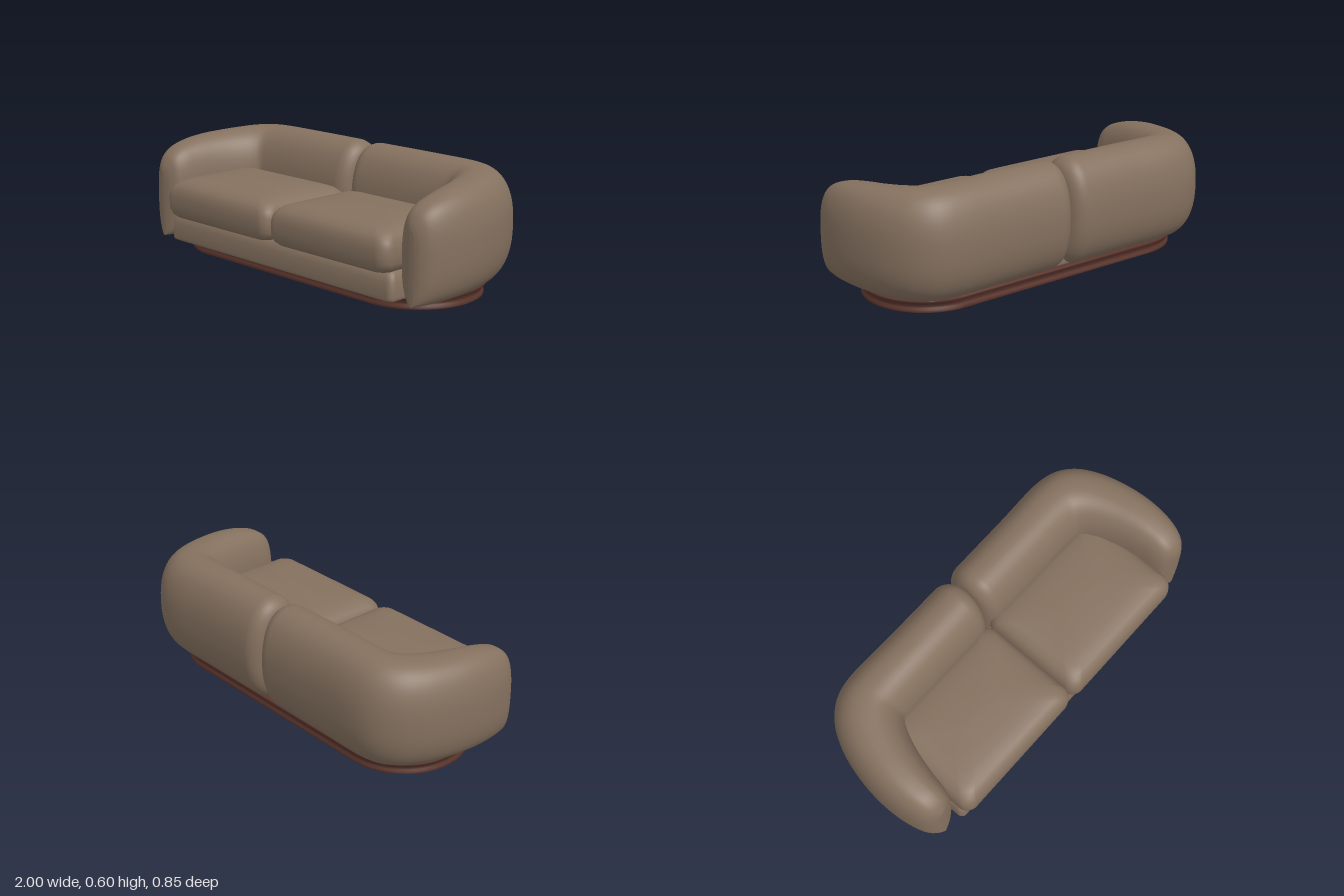
import * as THREE from 'three';

const V = (x, y, z) => new THREE.Vector3(x, y, z);

// Skin a list of equal-length closed rings, with fan caps at both ends
function loft(rings) {
  const n = rings[0].length, pos = [], idx = [];
  rings.forEach(r => r.forEach(p => pos.push(p.x, p.y, p.z)));
  for (let i = 0; i < rings.length - 1; i++) {
    for (let j = 0; j < n; j++) {
      const a = i * n + j, b = i * n + (j + 1) % n;
      idx.push(a, b, b + n, a, b + n, a + n);
    }
  }
  [0, rings.length - 1].forEach(i => {
    const c = rings[i].reduce((s, p) => s.add(p), V(0, 0, 0)).divideScalar(n);
    const k = pos.length / 3;
    pos.push(c.x, c.y, c.z);
    for (let j = 0; j < n; j++) {
      const a = i * n + j, b = i * n + (j + 1) % n;
      if (i === 0) idx.push(k, b, a); else idx.push(k, a, b);
    }
  });
  // Turn the faces outward if the enclosed volume is negative
  const at = i => V(pos[i * 3], pos[i * 3 + 1], pos[i * 3 + 2]);
  let vol = 0;
  for (let i = 0; i < idx.length; i += 3) vol += at(idx[i]).dot(at(idx[i + 1]).cross(at(idx[i + 2])));
  if (vol < 0) idx.reverse();
  const g = new THREE.BufferGeometry();
  g.setAttribute('position', new THREE.Float32BufferAttribute(pos, 3));
  g.setIndex(idx);
  g.computeVertexNormals();
  return g;
}

// Horizontal rounded rectangle
function roundRect(cx, cz, hx, hz, r, y) {
  const ring = [], steps = 14, rr = Math.min(r, hx - 0.001, hz - 0.001);
  [[1, 1], [-1, 1], [-1, -1], [1, -1]].forEach(([sx, sz], q) => {
    for (let i = 0; i <= steps; i++) {
      const a = (q + i / steps) * Math.PI / 2;
      ring.push(V(cx + sx * (hx - rr) + rr * Math.cos(a), y, cz + sz * (hz - rr) + rr * Math.sin(a)));
    }
  });
  return ring;
}

// Rounded slab from [inset, height] profile points
const slab = (cx, cz, hx, hz, r, profile) =>
  loft(profile.map(([d, y]) => roundRect(cx, cz, hx - d, hz - d, r, y)));

// Upright oval cross-section between an outer and an inner plan point
function section(outer, inner, n, inset = 0) {
  const ring = [], count = 56, bottom = inner.y;
  const mid = outer.clone().add(inner).multiplyScalar(0.5);
  const dir = V(outer.x - inner.x, 0, outer.z - inner.z);
  const half = dir.length() / 2 - inset;
  dir.normalize();
  const cy = (outer.y + bottom) / 2, hh = (outer.y - bottom) / 2 - inset;
  const pw = v => Math.sign(v) * Math.pow(Math.abs(v), 2 / n);
  for (let i = 0; i < count; i++) {
    const a = i / count * Math.PI * 2;
    const u = half * pw(Math.cos(a)), v = hh * pw(Math.sin(a));
    ring.push(V(mid.x + dir.x * u, cy + v, mid.z + dir.z * u));
  }
  return ring;
}

// Back rest curving round into the arm, one half of the sofa
function backAndArm(side) {
  const r = 0.08, bottom = 0.06;
  // outer x, outer z, inner x, inner z, top height
  const stations = [
    [r, -0.425, r, -0.105, 0.595], [0.4, -0.425, 0.36, -0.105, 0.595],
    [0.70, -0.425, 0.59, -0.105, 0.592], [0.80, -0.395, 0.63, -0.10, 0.589],
    [0.88, -0.33, 0.655, -0.075, 0.585], [0.94, -0.23, 0.68, -0.03, 0.578],
    [0.98, -0.10, 0.705, 0.03, 0.57], [1.0, 0.05, 0.73, 0.11, 0.56],
    [0.995, 0.18, 0.75, 0.20, 0.542], [0.975, 0.27, 0.765, 0.28, 0.515],
    [0.95, 0.32, 0.785, 0.325, 0.48], [0.915, 0.348, 0.82, 0.348, 0.435],
    [0.885, 0.357, 0.855, 0.357, 0.40],
  ];
  const outer = new THREE.CatmullRomCurve3(stations.map(s => V(side * s[0], s[4], s[1])));
  const inner = new THREE.CatmullRomCurve3(stations.map(s => V(side * s[2], bottom, s[3])));
  const rings = [];
  // Rounded end at the centre seam
  for (let i = 0; i < 8; i++) {
    const a = i / 8 * Math.PI / 2, x = side * (0.002 + (r - 0.002) * (1 - Math.cos(a)));
    rings.push(section(V(x, 0.595, -0.425), V(x, bottom, -0.105), 2.2, r * (1 - Math.sin(a))));
  }
  const steps = 72;
  for (let i = 0; i <= steps; i++) {
    const t = i / steps;
    rings.push(section(outer.getPoint(t), inner.getPoint(t), 2.2 + 0.6 * t));
  }
  return loft(rings);
}

export function createModel() {
  const fabric = new THREE.MeshStandardMaterial({ color: 0x85715f });
  fabric.name = 'taupe fabric';
  const wood = new THREE.MeshStandardMaterial({ color: 0x5a352c });
  wood.name = 'dark wood';
  const group = new THREE.Group();
  group.name = 'sofa';
  const add = (name, geometry, material) => {
    const m = new THREE.Mesh(geometry, material);
    m.name = name;
    group.add(m);
  };

  // Plinth with a shallow groove
  add('plinth', slab(0, -0.005, 0.895, 0.32, 0.3, [
    [0.03, 0.0], [0.014, 0.0], [0.010, 0.003], [0.010, 0.014], [0.015, 0.022],
    [0.016, 0.032], [0.009, 0.046], [0.001, 0.056], [0.002, 0.064], [0.02, 0.066],
  ]), wood);

  // Seat base showing below the cushions
  add('seatBase', slab(0, 0.04, 0.775, 0.342, 0.03, [
    [0.02, 0.064], [0.006, 0.064], [0.001, 0.068], [0.0, 0.08], [0.0, 0.11],
    [0.004, 0.15], [0.014, 0.18], [0.035, 0.2], [0.08, 0.21],
  ]), fabric);

  // Softly crowned seat cushion profile
  const cushion = [
    [0.26, 0.18], [0.1, 0.18], [0.06, 0.183], [0.03, 0.192], [0.012, 0.208],
    [0.002, 0.235], [0, 0.27], [0.001, 0.305], [0.008, 0.335], [0.022, 0.357],
    [0.042, 0.373], [0.07, 0.384], [0.11, 0.391], [0.17, 0.396], [0.26, 0.399],
  ];
  [1, -1].forEach(side => {
    const label = side > 0 ? 'left' : 'right';
    add(label + 'SeatCushion', slab(side * 0.386, 0.135, 0.385, 0.288, 0.06, cushion), fabric);
    add(label + 'BackAndArm', backAndArm(side), fabric);
  });
  return group;
}
